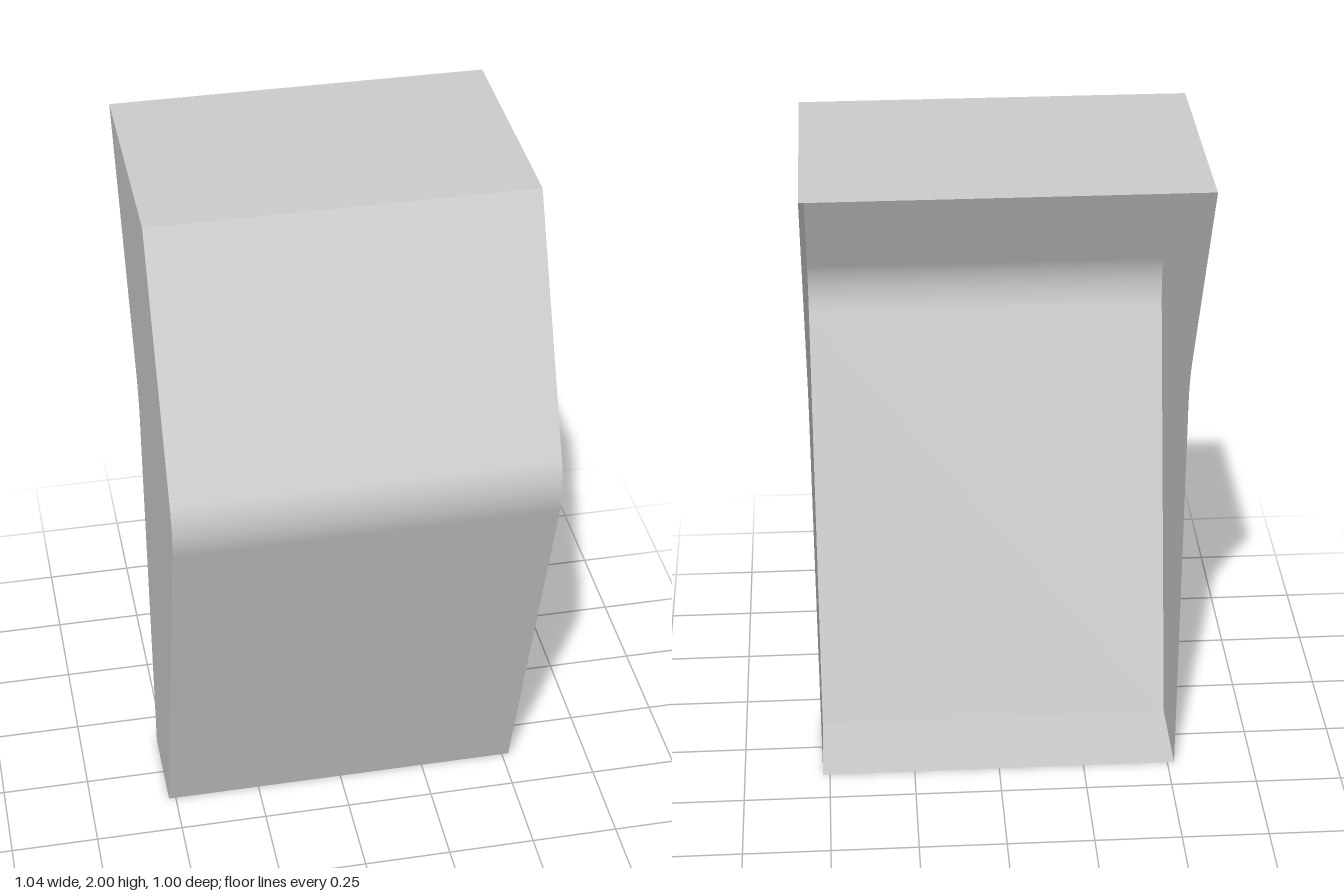
import * as THREE from 'three';

const HALF_WIDTH = 0.52;
const CURVE_STEPS = 10;

export function createModel() {
  const group = new THREE.Group();
  const material = new THREE.MeshStandardMaterial({ color: 0xcccccc, side: THREE.DoubleSide });

  const add = (name, geometry) => {
    const mesh = new THREE.Mesh(geometry, material);
    mesh.name = name;
    group.add(mesh);
    return mesh;
  };

  // Points (z, y) from top to bottom, with a rounded bend between two straight runs
  const bentProfile = (top, bendStart, bendCorner, bendEnd, bottom) => {
    const v = (p) => new THREE.Vector2(...p);
    const bend = new THREE.QuadraticBezierCurve(v(bendStart), v(bendCorner), v(bendEnd));
    return [v(top), ...bend.getPoints(CURVE_STEPS), v(bottom)];
  };
  const front = bentProfile([0.16, 2], [0.48, 1.36], [0.517, 1.287], [0.49, 1.2], [0.12, 0]);
  const back = bentProfile([-0.5, 2], [-0.18, 1.36], [-0.14, 1.28], [-0.14, 1.2], [-0.14, 0]);

  // Front panel: a sheet that follows the front profile
  const sheet = new THREE.PlaneGeometry(2 * HALF_WIDTH, 1, 1, front.length - 1);
  const pos = sheet.attributes.position;
  for (let i = 0; i < pos.count; i++) {
    const p = front[Math.floor(i / 2)];
    pos.setXYZ(i, pos.getX(i), p.y, p.x);
  }
  sheet.computeVertexNormals();
  add('frontPanel', sheet);

  // Side walls: the outline between both profiles, mirrored; the back stays open
  const outline = new THREE.Shape([...front, ...[...back].reverse()]);
  const wall = new THREE.ShapeGeometry(outline).rotateY(-Math.PI / 2);
  for (const [name, side] of [['rightWall', -1], ['leftWall', 1]]) {
    const mesh = add(name, wall);
    mesh.position.x = side * HALF_WIDTH;
    mesh.scale.x = -side;
  }

  // Horizontal end plates
  const plate = (name, y, zBack, zFront, facing) => {
    const geometry = new THREE.PlaneGeometry(2 * HALF_WIDTH, zFront - zBack);
    geometry.rotateX(-facing * Math.PI / 2);
    add(name, geometry).position.set(0, y, (zFront + zBack) / 2);
  };
  plate('topPlate', 2, -0.5, 0.16, 1);
  plate('bottomPlate', 0, -0.14, 0.12, -1);

  return group;
}
